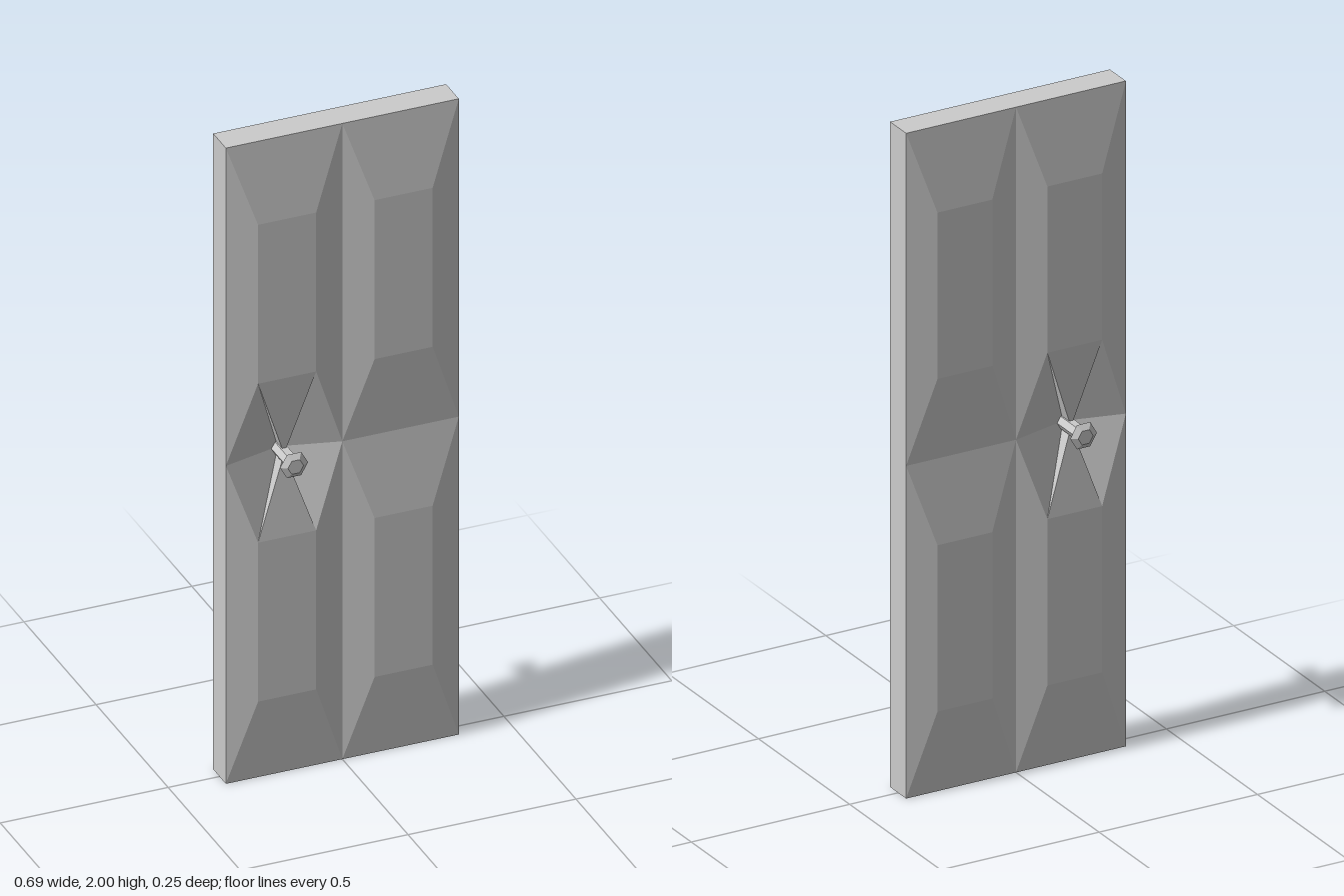
import * as THREE from 'three';

const W = 0.347, H = 2, T = 0.044, RAISED = 0.065;
const INSET_X = 0.087, INSET_Y = 0.25, KNOB_X = -W / 2;

const material = new THREE.MeshStandardMaterial({
  color: 0xcccccc, flatShading: true, side: THREE.DoubleSide,
});

function addMesh(parent, name, geometry) {
  const mesh = new THREE.Mesh(geometry, material);
  mesh.name = name;
  parent.add(mesh);
  return mesh;
}

// Turns polygons into flat triangles, each wound to face +z
function facesToGeometry(faces) {
  const positions = [];
  for (const face of faces) {
    const p = face.map((c) => new THREE.Vector3(...c));
    for (let i = 1; i < p.length - 1; i++) {
      const tri = [p[0], p[i], p[i + 1]];
      const normal = tri[1].clone().sub(tri[0]).cross(tri[2].clone().sub(tri[0]));
      if (normal.z < 0) tri.reverse();
      tri.forEach((v) => positions.push(v.x, v.y, v.z));
    }
  }
  const geometry = new THREE.BufferGeometry();
  geometry.setAttribute('position', new THREE.Float32BufferAttribute(positions, 3));
  geometry.computeVertexNormals();
  return geometry;
}

// One raised panel with bevelled borders; dir is +1 above the middle rail, -1 below
function panelFaces(x0, dir, hasKnob) {
  const x1 = x0 + W, mid = H / 2, end = mid + dir * H / 2;
  const y0 = mid + dir * INSET_Y, y1 = end - dir * INSET_Y;
  const outer = [[x0, mid, T], [x1, mid, T], [x1, end, T], [x0, end, T]];
  const inner = [
    [x0 + INSET_X, y0, RAISED], [x1 - INSET_X, y0, RAISED],
    [x1 - INSET_X, y1, RAISED], [x0 + INSET_X, y1, RAISED],
  ];
  const faces = [inner];
  for (let i = hasKnob ? 1 : 0; i < 4; i++) {
    const j = (i + 1) % 4;
    faces.push([outer[i], outer[j], inner[j], inner[i]]);
  }
  if (hasKnob) {
    // Bevel split into a centre wedge and two sunken triangles around the knob
    const seat = [x0 + W / 2, mid, T], sunk = [x0 + W / 2, mid, 0];
    faces.push([inner[0], inner[1], seat]);
    for (const i of [0, 1]) {
      faces.push([outer[i], inner[i], sunk], [inner[i], seat, sunk]);
    }
  }
  return faces;
}

// Two by two panels, with the knob in the left or right column
function doorFace(knobInLeftColumn) {
  const faces = [];
  for (const x0 of [-W, 0]) {
    for (const dir of [1, -1]) {
      faces.push(...panelFaces(x0, dir, (x0 < 0) === knobInLeftColumn));
    }
  }
  return facesToGeometry(faces);
}

export function createModel() {
  const model = new THREE.Group();
  model.name = 'door';

  // Panelled faces
  addMesh(model, 'frontPanels', doorFace(true));
  addMesh(model, 'backPanels', doorFace(false)).rotation.y = Math.PI;

  // Rim around the slab
  for (const side of [1, -1]) {
    const edge = addMesh(model, side > 0 ? 'leftEdge' : 'rightEdge', new THREE.PlaneGeometry(2 * T, H));
    edge.rotation.y = side * Math.PI / 2;
    edge.position.set(side * W, H / 2, 0);
    const cap = addMesh(model, side > 0 ? 'topEdge' : 'bottomEdge', new THREE.PlaneGeometry(2 * W, 2 * T));
    cap.rotation.x = -side * Math.PI / 2;
    cap.position.y = side > 0 ? H : 0;
  }

  // Six-sided knob and stem on both faces
  const profile = [
    [0.0215, 0], [0.0215, 0.1], [0.0235, 0.1], [0.042, 0.113], [0.0235, 0.125], [0, 0.125],
  ].map(([r, y]) => new THREE.Vector2(r, y));
  const knob = new THREE.LatheGeometry(profile, 6, Math.PI / 2).rotateX(Math.PI / 2);
  for (const [name, turn] of [['frontKnob', 0], ['backKnob', Math.PI]]) {
    const mesh = addMesh(model, name, knob);
    mesh.position.set(KNOB_X, H / 2, 0);
    mesh.rotation.y = turn;
  }
  return model;
}
